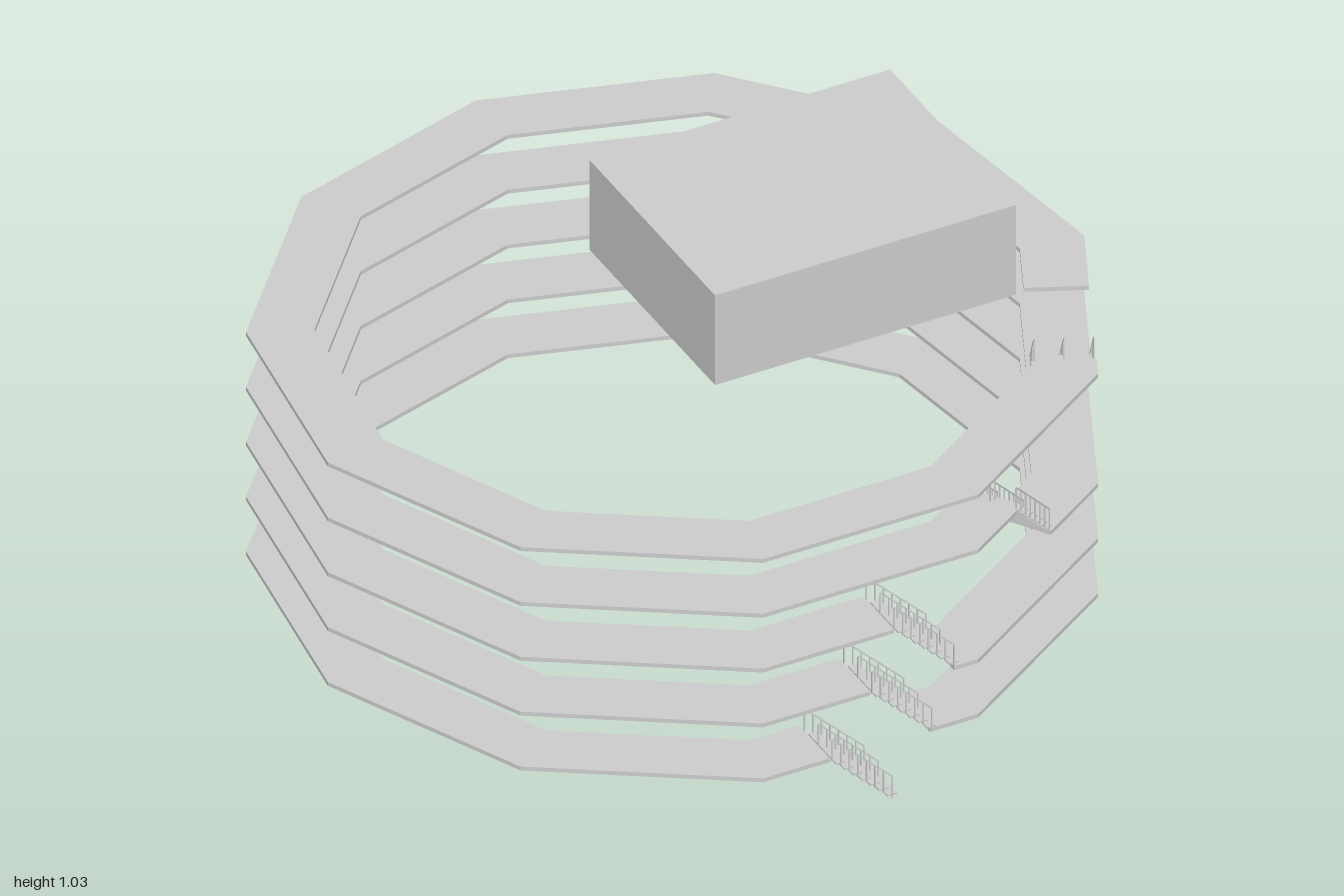
import * as THREE from 'three';

const SIDES = 11, OUTER = 1.01, INNER = 0.85, FLOOR = 0.156, THICK = 0.011;
const STEP = (2 * Math.PI) / SIDES;
const STEPS = 7, RUN = 0.158;
const grey = new THREE.MeshStandardMaterial({ color: 0xcccccc, flatShading: true, side: THREE.DoubleSide });

// Each flight: polygon edge it runs along, position of its foot on that edge, distance of its centre line from the axis
const flights = [
  { edge: 5, foot: -0.05, dist: 0.912 },
  { edge: 5, foot: -0.157, dist: 0.908 },
  { edge: 5, foot: -0.22, dist: 0.9 },
  { edge: 4, foot: -0.06, dist: 0.895 },
  { edge: 3, foot: 0.065, dist: 0.893 },
];
const lastOpening = { edge: 3, foot: -0.077 };

const edgeAngle = (edge) => (edge + 0.5) * STEP;

function box(name, w, h, d, x, y, z) {
  const mesh = new THREE.Mesh(new THREE.BoxGeometry(w, h, d), grey);
  mesh.name = name;
  mesh.position.set(x, y, z);
  return mesh;
}

// Point on a polygon edge, s measured from the middle of the edge (shape plane: x, -z)
function onEdge(radius, edge, s) {
  const a = edgeAngle(edge), n = radius * Math.cos(STEP / 2);
  return new THREE.Vector2(Math.sin(a) * n + Math.cos(a) * s, Math.cos(a) * n - Math.sin(a) * s);
}

// Walkway ring running from the head of one flight round to the foot of the next
function walkway(from, to) {
  const line = (radius) => {
    const pts = [onEdge(radius, from.edge, from.foot + RUN)];
    for (let k = from.edge + 1; k <= to.edge + SIDES; k++) {
      pts.push(new THREE.Vector2(Math.sin(k * STEP) * radius, Math.cos(k * STEP) * radius));
    }
    pts.push(onEdge(radius, to.edge, to.foot));
    return pts;
  };
  const shape = new THREE.Shape([...line(OUTER), ...line(INNER).reverse()]);
  const geo = new THREE.ExtrudeGeometry(shape, { depth: THICK, bevelEnabled: false });
  geo.rotateX(-Math.PI / 2);
  const mesh = new THREE.Mesh(geo, grey);
  mesh.name = 'walkway';
  return mesh;
}

// Open-riser flight with three railings; local x is outward, z is the climbing direction
function staircase({ edge, foot, dist }) {
  const stair = new THREE.Group();
  stair.name = 'staircase';
  const rise = FLOOR / STEPS, run = RUN / STEPS, half = 0.07, post = 0.062, bar = 0.003;
  for (let i = 0; i < STEPS; i++) {
    stair.add(box('tread', half * 2, 0.004, run * 1.1, dist, 0.01 + i * rise, foot + i * run));
  }
  for (const offset of [-half, 0, half]) {
    for (let i = 0; i <= STEPS; i++) {
      stair.add(box('railPost', bar, post, bar, dist + offset, i * rise + post / 2, foot + i * run));
    }
    const rail = box('handRail', bar, bar, Math.hypot(RUN, FLOOR), dist + offset, post + FLOOR / 2, foot + RUN / 2);
    rail.rotation.x = -Math.atan2(FLOOR, RUN);
    stair.add(rail);
  }
  stair.rotation.y = Math.PI / 2 - edgeAngle(edge);
  return stair;
}

// Thin-walled room, open towards +x
function room() {
  const g = new THREE.Group();
  g.name = 'room';
  const w = 0.795, h = 0.255, d = 0.63, t = 0.006;
  g.add(
    box('roomFloor', w, t, d, 0, t / 2, 0),
    box('roomRoof', w, t, d, 0, h - t / 2, 0),
    box('roomFrontWall', w, h - 2 * t, t, 0, h / 2, d / 2 - t / 2),
    box('roomBackWall', w, h - 2 * t, t, 0, h / 2, -d / 2 + t / 2),
    box('roomEndWall', t, h - 2 * t, d - 2 * t, -w / 2 + t / 2, h / 2, 0),
  );
  g.position.set(0.347, 5 * FLOOR, -0.03);
  return g;
}

export function createModel() {
  const model = new THREE.Group();
  model.name = 'spiralWalkways';
  flights.forEach((flight, i) => {
    const ring = walkway(flight, flights[i + 1] ?? lastOpening);
    ring.position.y = (i + 1) * FLOOR - THICK;
    const stair = staircase(flight);
    stair.position.y = i * FLOOR;
    model.add(ring, stair);
  });
  model.add(room());
  model.position.z = 0.01;
  const root = new THREE.Group();
  root.name = 'model';
  root.add(model);
  return root;
}
